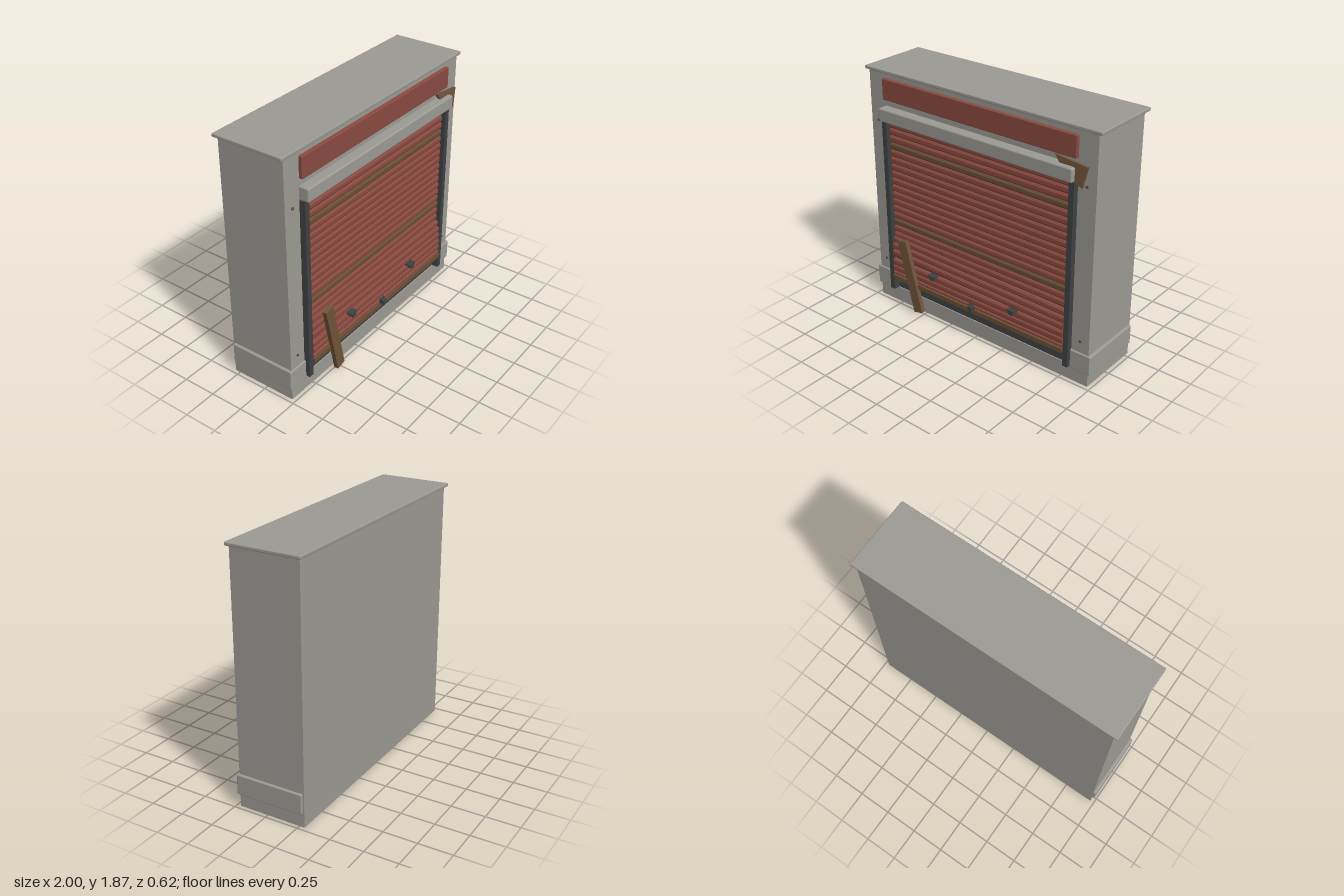
import * as THREE from 'three';
import { RoundedBoxGeometry } from 'three/addons/geometries/RoundedBoxGeometry.js';

const material = (name, color) => {
  const m = new THREE.MeshStandardMaterial({ color });
  m.name = name;
  return m;
};

export function createModel() {
  const concrete = material('concrete grey', 0x9c9a94);
  const red = material('faded red', 0x8a4a40);
  const rust = material('rust brown', 0x6b5035);
  const wood = material('old wood', 0x70533a);
  const steel = material('dark steel', 0x3f4143);

  const model = new THREE.Group();
  model.name = 'shutteredShopfront';

  const add = (name, geometry, mat, x = 0, y = 0, z = 0) => {
    const mesh = new THREE.Mesh(geometry, mat);
    mesh.name = name;
    mesh.position.set(x, y, z);
    model.add(mesh);
    return mesh;
  };
  // Box given by its limits, with optional softened edges
  const box = (name, mat, [x0, x1], [y0, y1], [z0, z1], r = 0) => {
    const size = [x1 - x0, y1 - y0, z1 - z0];
    const g = r ? new RoundedBoxGeometry(...size, 2, r) : new THREE.BoxGeometry(...size);
    return add(name, g, mat, (x0 + x1) / 2, (y0 + y1) / 2, (z0 + z1) / 2);
  };
  const polygon = (points) => new THREE.Shape(points.map(([x, y]) => new THREE.Vector2(x, y)));

  // Building block and the front wall with its opening
  box('buildingCore', concrete, [-0.97, 0.97], [0, 1.84], [-0.29, 0.1]);
  const wall = polygon([[-0.97, 0], [0.97, 0], [0.97, 1.84], [-0.97, 1.84]]);
  wall.holes.push(polygon([[-0.83, 0.12], [-0.83, 1.56], [0.83, 1.56], [0.83, 0.12]]));
  add('frontWall', new THREE.ExtrudeGeometry(wall, { depth: 0.12, bevelEnabled: false }), concrete, 0, 0, 0.1);
  box('roofCap', concrete, [-1, 1], [1.84, 1.865], [-0.312, 0.236], 0.007);
  box('shutterHousing', concrete, [-0.83, 0.83], [1.5, 1.6], [0.2, 0.293], 0.012);
  box('signBoard', red, [-0.827, 0.827], [1.65, 1.805], [0.21, 0.247], 0.006);

  // Pier strips, plinths and wall bolts
  for (const s of [-1, 1]) {
    const span = (a, b) => (s > 0 ? [a, b] : [-b, -a]);
    box('pierPlinth', concrete, span(0.82, 0.99), [0.1, 0.25], [-0.28, 0.232], 0.008);
    box('guideRail', steel, span(0.79, 0.83), [0.12, 1.5], [0.18, 0.264]);
    for (const y of [0.34, 1.475]) {
      const bolt = new THREE.CylinderGeometry(0.01, 0.01, 0.01, 12).rotateX(Math.PI / 2);
      add('wallBolt', bolt, rust, s * 0.9, y, 0.222);
    }
  }

  // Shutter: dark backing and bowed slats
  box('shutterBacking', steel, [-0.8, 0.8], [0.12, 1.52], [0.1, 0.212]);
  const slatGeometry = (h) => {
    const profile = polygon([[0, -h / 2], [0.02, -h / 2], [0.028, -h / 4],
      [0.028, h / 4], [0.02, h / 2], [0, h / 2]]);
    return new THREE.ExtrudeGeometry(profile, { depth: 1.57, bevelEnabled: false })
      .rotateY(-Math.PI / 2).scale(1, 1, 1).translate(0.785, 0, 0);
  };
  const slat = slatGeometry(0.05);
  const pitch = 0.0553;
  for (let i = 0; i < 17; i++) {
    add('shutterSlat', slat, i === 3 || i === 14 ? rust : red, 0, 1.47 - i * pitch, 0.208);
  }

  // Loosened slats near the bottom: height, tilt, forward position
  for (const [y, tilt, z] of [[0.537, -0.014, 0.222], [0.487, -0.016, 0.234], [0.432, -0.013, 0.238],
    [0.366, 0, 0.24], [0.315, 0, 0.24]]) {
    add('looseSlat', slat, red, 0, y, z).rotation.z = tilt;
  }
  add('lowestSlat', slatGeometry(0.03), red, 0, 0.273, 0.24);
  box('bottomBar', rust, [-0.785, 0.785], [0.222, 0.257], [0.21, 0.275]);

  // Lift handles
  for (const x of [-0.37, 0.365]) {
    box('handlePlate', steel, [x - 0.034, x + 0.034], [0.388, 0.402], [0.255, 0.3]);
    box('handleGrip', steel, [x - 0.018, x + 0.018], [0.368, 0.388], [0.255, 0.3]);
  }

  // Padlock
  box('padlockBody', steel, [-0.018, 0.018], [0.25, 0.292], [0.265, 0.305], 0.004);
  add('padlockShackle', new THREE.TorusGeometry(0.012, 0.005, 8, 16, Math.PI), steel, 0, 0.3, 0.285);
  for (const x of [-0.012, 0.012]) {
    add('shackleLeg', new THREE.CylinderGeometry(0.005, 0.005, 0.012, 8), steel, x, 0.295, 0.285);
  }

  // Leaning plank and broken board
  const plank = add('leaningPlank', new THREE.BoxGeometry(0.079, 0.583, 0.034), wood, -0.586, 0.315, 0.283);
  plank.rotation.set(0.008, 0.03, 0.232);
  const broken = polygon([[-0.246, 0.027], [-0.214, -0.016], [-0.12, -0.09],
    [-0.096, -0.123], [-0.032, -0.144], [0, 0]]);
  const board = add('brokenBoard', new THREE.ExtrudeGeometry(broken, { depth: 0.018, bevelEnabled: false }),
    wood, 0.92, 1.62, 0.238);
  board.rotation.x = -0.06;

  return model;
}
